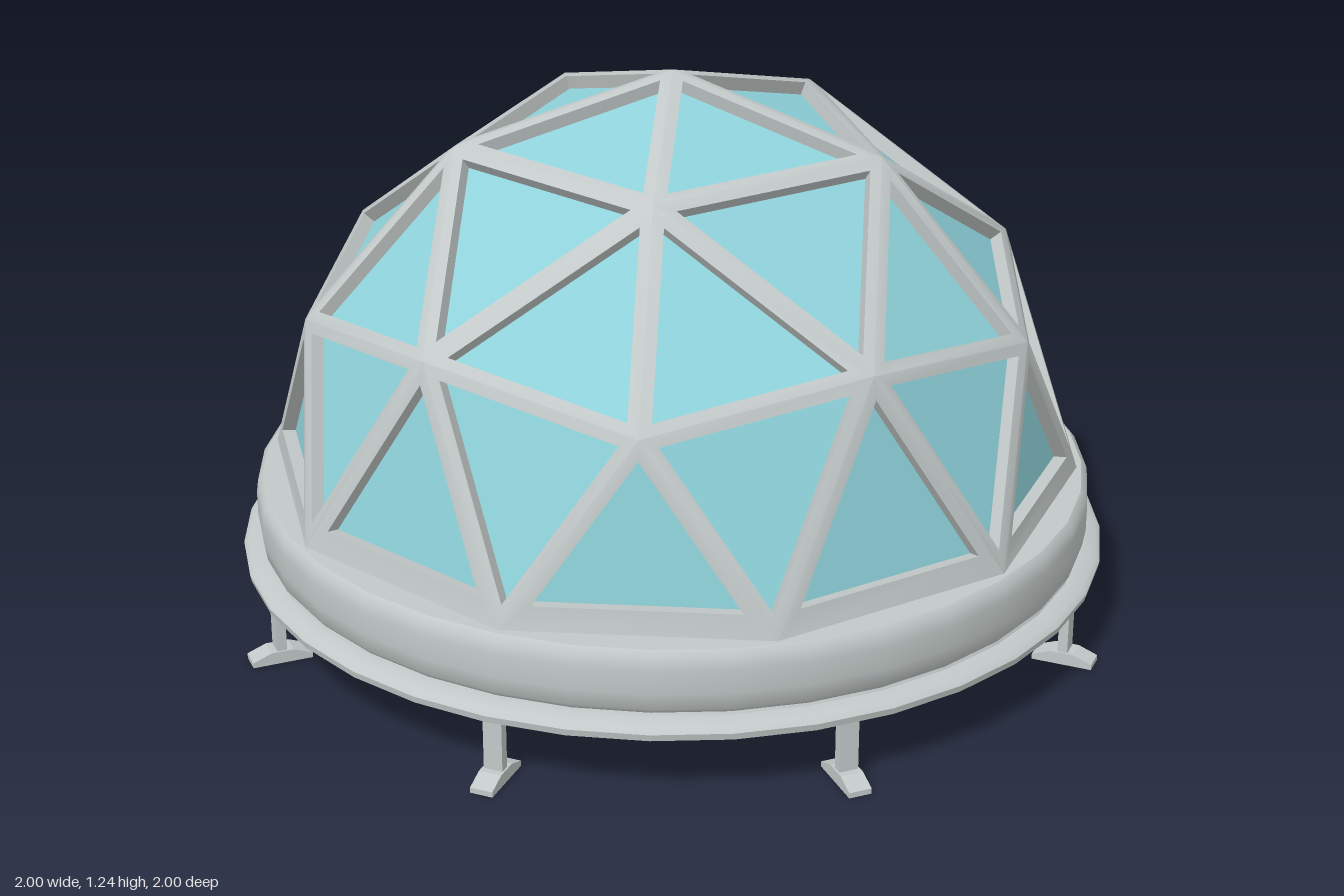
import * as THREE from 'three';
import { toCreasedNormals } from 'three/addons/utils/BufferGeometryUtils.js';

const R = 0.91, CENTER_Y = 0.33;      // dome sphere
const STRUT = 0.025, CURB = 0.055, DEPTH = 0.03;

// Point on the dome at a given height ratio and compass angle
function domePoint(h, degrees) {
  const a = THREE.MathUtils.degToRad(degrees), r = R * Math.sqrt(1 - h * h);
  return new THREE.Vector3(r * Math.cos(a), CENTER_Y + R * h, r * Math.sin(a));
}

// Triangles of a two-frequency geodesic half sphere
function domeFaces() {
  const apex = domePoint(1, 0), upper = [], middle = [], base = [], faces = [];
  for (let k = 0; k < 5; k++) upper.push(domePoint(0.8507, 72 * k));
  for (let j = 0; j < 10; j++) {
    middle.push(domePoint(j % 2 ? 0.5257 : 0.4472, 36 * j));
    base.push(domePoint(0, 18 + 36 * j));
  }
  for (let k = 0; k < 5; k++) {
    const a = upper[k], b = upper[(k + 1) % 5], m = middle[2 * k + 1];
    faces.push([apex, a, b], [a, b, m], [a, m, middle[2 * k]], [a, middle[2 * k], middle[(2 * k + 9) % 10]]);
  }
  for (let j = 0; j < 10; j++) {
    faces.push([middle[j], base[j], middle[(j + 1) % 10]], [middle[j], base[(j + 9) % 10], base[j]]);
  }
  return faces;
}

function geometryFrom(points) {
  return new THREE.BufferGeometry().setFromPoints(points);
}

function buildDome(frameMat, glassMat) {
  const frame = [], glass = [], center = new THREE.Vector3(0, CENTER_Y, 0);
  const onBase = (p) => Math.abs(p.y - CENTER_Y) < 1e-6;
  for (const face of domeFaces()) {
    let [a, b, c] = face;
    const n = b.clone().sub(a).cross(c.clone().sub(a)).normalize();
    if (n.dot(a.clone().sub(center)) < 0) { [b, c] = [c, b]; n.negate(); }
    const tri = [a, b, c];
    const width = (p, q) => (onBase(p) && onBase(q) ? CURB : STRUT);
    // Opening corners, moved in from each edge by half a strut
    const inner = tri.map((p, i) => {
      const q = tri[(i + 1) % 3], s = tri[(i + 2) % 3];
      const u = q.clone().sub(p).normalize(), v = s.clone().sub(p).normalize();
      const sin = u.clone().cross(v).length();
      return p.clone().addScaledVector(u, width(p, s) / sin).addScaledVector(v, width(p, q) / sin);
    });
    const deep = inner.map((p) => p.clone().addScaledVector(n, -DEPTH));
    for (let i = 0; i < 3; i++) {
      const j = (i + 1) % 3;
      frame.push(tri[i], tri[j], inner[j], tri[i], inner[j], inner[i]);
      frame.push(inner[i], inner[j], deep[j], inner[i], deep[j], deep[i]);
    }
    glass.push(...deep);
  }
  const dome = new THREE.Group();
  dome.name = 'dome';
  const struts = new THREE.Mesh(toCreasedNormals(geometryFrom(frame), 0.6), frameMat);
  struts.name = 'domeStruts';
  const glassGeometry = geometryFrom(glass);
  glassGeometry.computeVertexNormals();
  const panes = new THREE.Mesh(glassGeometry, glassMat);
  panes.name = 'glassPanes';
  dome.add(struts, panes);
  return dome;
}

// Round base: recessed underside, rounded flange, bulging wall and floor
function buildBase(mat) {
  const profile = [
    [0, 0.152], [0.905, 0.152], [0.915, 0.145], [0.955, 0.145], [0.97, 0.153], [0.973, 0.168],
    [0.962, 0.18], [0.925, 0.184], [0.922, 0.19], [0.932, 0.202], [0.938, 0.24], [0.938, 0.29],
    [0.934, 0.32], [0.922, 0.332], [0, 0.332],
  ].map(([x, y]) => new THREE.Vector2(x, y));
  const base = new THREE.Mesh(toCreasedNormals(new THREE.LatheGeometry(profile, 36), 0.75), mat);
  base.name = 'baseRing';
  return base;
}

// Post on a long foot with sloping ends, pointing along local x
function buildLeg(mat) {
  const leg = new THREE.Group();
  leg.name = 'leg';
  const post = new THREE.Mesh(new THREE.BoxGeometry(0.022, 0.13, 0.042), mat);
  post.position.y = 0.09;
  post.name = 'legPost';
  const shape = new THREE.Shape();
  shape.moveTo(-0.067, 0);
  shape.lineTo(0.067, 0);
  shape.lineTo(0.067, 0.012);
  shape.lineTo(0.025, 0.028);
  shape.lineTo(-0.025, 0.028);
  shape.lineTo(-0.067, 0.012);
  shape.closePath();
  const foot = new THREE.Mesh(new THREE.ExtrudeGeometry(shape, { depth: 0.05, bevelEnabled: false }), mat);
  foot.position.z = -0.025;
  foot.name = 'legFoot';
  leg.add(post, foot);
  return leg;
}

export function createModel() {
  const frameMat = new THREE.MeshStandardMaterial({ color: 0xc2c9c8 });
  frameMat.name = 'paleGreyMetal';
  const glassMat = new THREE.MeshStandardMaterial({ color: 0x8fd2da, side: THREE.DoubleSide });
  glassMat.name = 'aquaGlass';

  const model = new THREE.Group();
  model.name = 'geodesicDome';
  model.add(buildDome(frameMat, glassMat), buildBase(frameMat));

  // Eight legs; the back one on the +x side stands further in
  for (let i = 0; i < 8; i++) {
    const a = i * Math.PI / 4, leg = buildLeg(frameMat);
    leg.position.set(0.933 * Math.cos(a), 0, -0.933 * Math.sin(a));
    if (i === 1) leg.position.x = 0.18;
    leg.rotation.y = a;
    model.add(leg);
  }
  return model;
}
